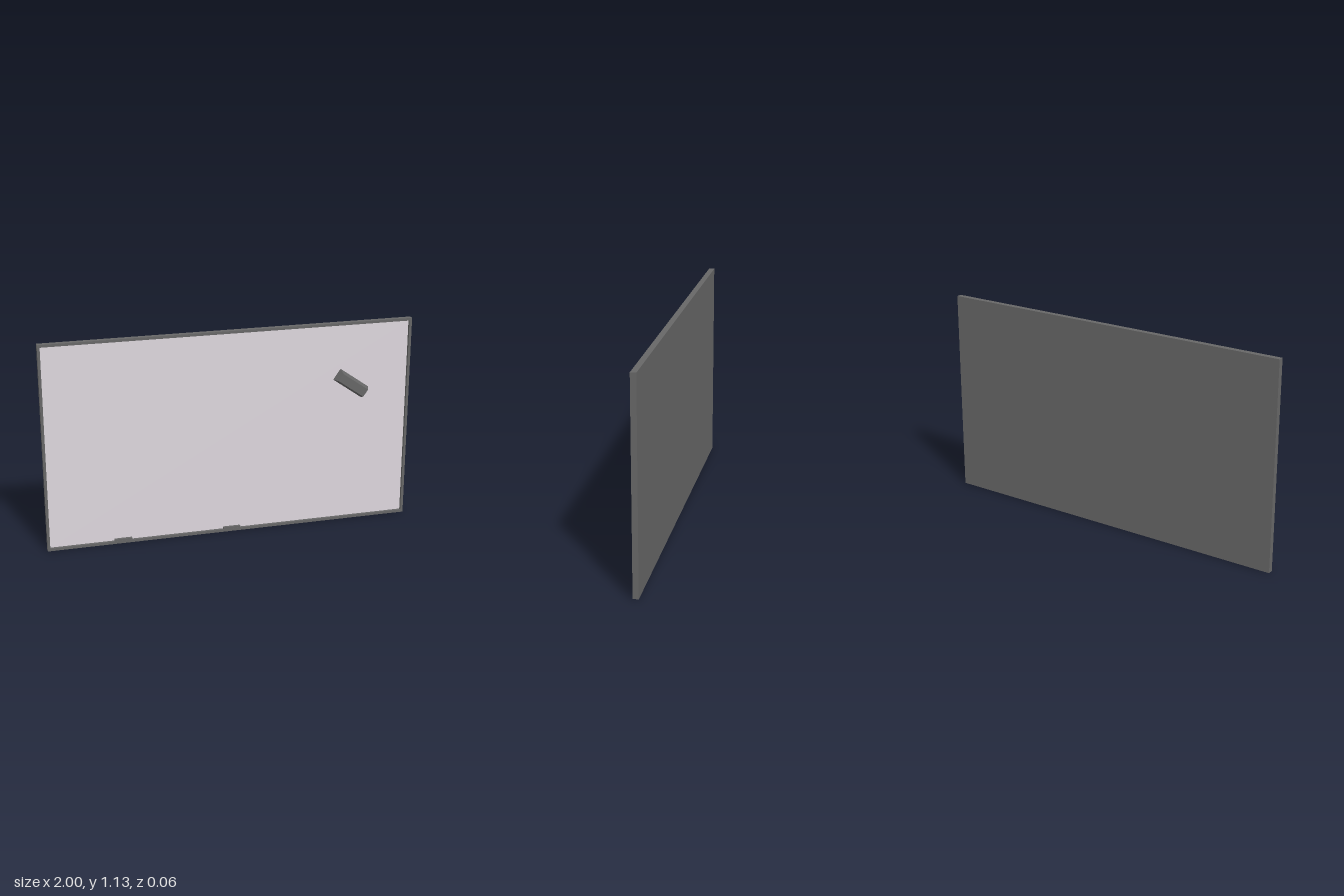
import * as THREE from 'three';

const W = 2, H = 1.127, T = 0.03;   // board size
const RIM = 0.014, RECESS = 0.015;  // frame width, panel depth behind the rim

export function createModel() {
  const group = new THREE.Group();
  const dark = new THREE.MeshStandardMaterial({ color: 0x666666, flatShading: true });
  const light = new THREE.MeshStandardMaterial({ color: 0xdcd6dc });

  const add = (name, geometry, material, x, y, z) => {
    const mesh = new THREE.Mesh(geometry, material);
    mesh.name = name;
    mesh.position.set(x, y, z);
    group.add(mesh);
    return mesh;
  };

  const rect = (target, x0, y0, x1, y1) => {
    target.moveTo(x0, y0);
    target.lineTo(x1, y0);
    target.lineTo(x1, y1);
    target.lineTo(x0, y1);
    target.closePath();
    return target;
  };

  // Raised rim around the writing surface
  const outline = rect(new THREE.Shape(), -W / 2, 0, W / 2, H);
  outline.holes.push(rect(new THREE.Path(), -W / 2 + RIM, RIM, W / 2 - RIM, H - RIM));
  add('frame', new THREE.ExtrudeGeometry(outline, { depth: T, bevelEnabled: false }), dark, 0, 0, -T);

  // Back plate filling the frame, with the writing surface on it
  const innerW = W - 2 * RIM, innerH = H - 2 * RIM;
  add('backPlate', new THREE.BoxGeometry(innerW, innerH, T - RECESS - 0.001), dark,
    0, H / 2, -T + (T - RECESS - 0.001) / 2);
  add('writingSurface', new THREE.PlaneGeometry(innerW, innerH), light, 0, H / 2, -RECESS);

  // Two small blocks resting on the lower rim
  for (const x of [-0.595, 0.003]) {
    add('ledgeBlock', new THREE.BoxGeometry(0.095, 0.022, RECESS), dark, x, 0.014, -RECESS / 2 - 0.0005);
  }

  // Tilted eraser, tapering towards its front face
  const depth = 0.03 + RECESS;
  const eraser = new THREE.BoxGeometry(0.196, 0.07, depth);
  const p = eraser.attributes.position;
  for (let i = 0; i < p.count; i++) {
    if (p.getZ(i) > 0) {
      p.setX(i, p.getX(i) - Math.sign(p.getX(i)) * 0.012);
      p.setY(i, p.getY(i) - Math.sign(p.getY(i)) * 0.012);
    }
  }
  eraser.computeVertexNormals();
  add('eraser', eraser, dark, 0.669, 0.785, 0.03 - depth / 2).rotation.z = -0.61;

  return group;
}
